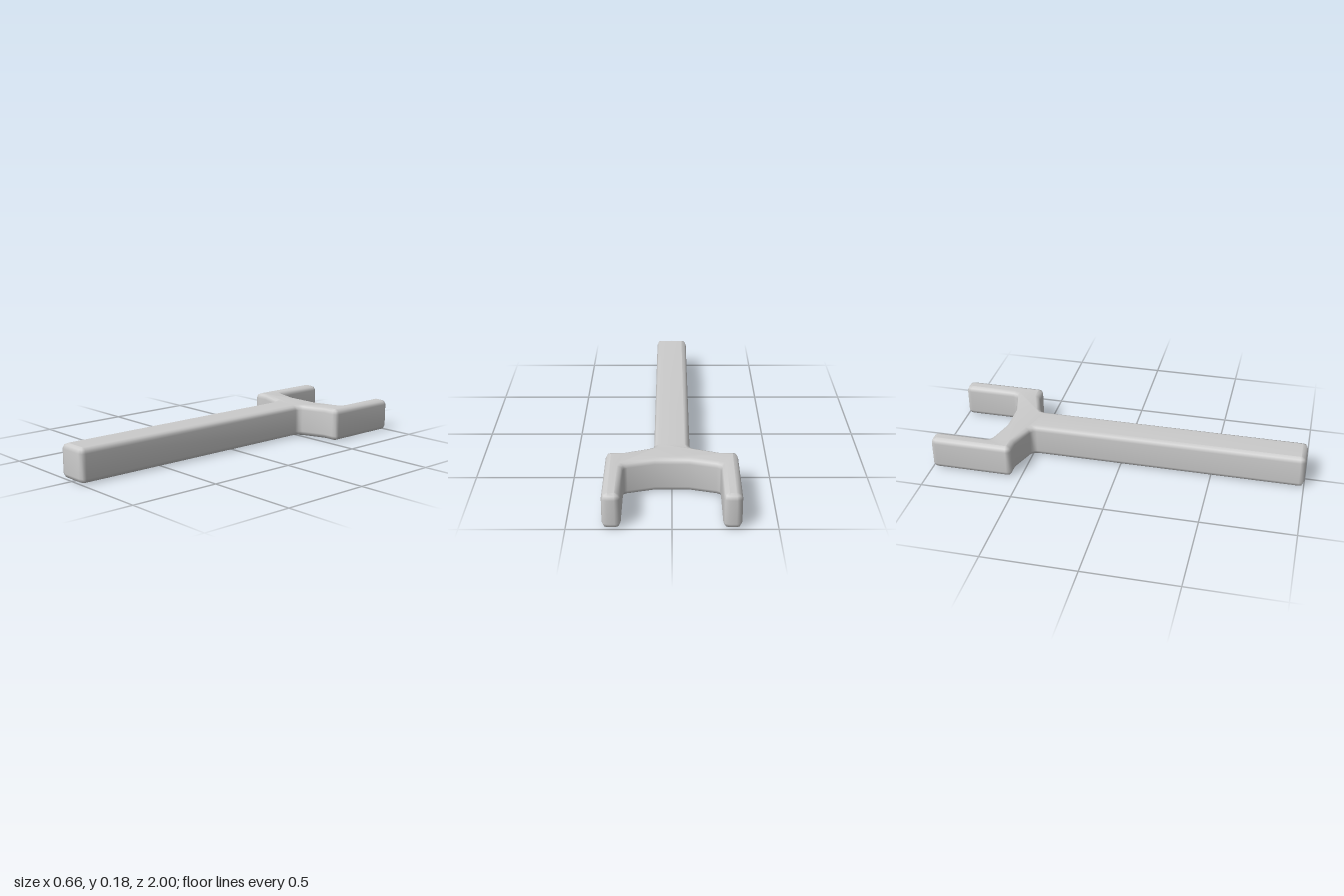
import * as THREE from 'three';
import { mergeVertices } from 'three/addons/utils/BufferGeometryUtils.js';

const HEIGHT = 0.18, BEVEL = 0.027;

// Right half of the plan: [x, -z, corner rounding], from handle end to fork throat
const HALF = [
  [0.09, -1, 0.028],
  [0.09, 0.497, 0.025],
  [0.24, 0.55, 0],
  [0.33, 0.55, 0.028],
  [0.33, 1, 0.028],
  [0.24, 1, 0.028],
  [0.24, 0.688, 0.022],
  [0.085, 0.645, 0],
];

// Closed outline whose corners are eased by the given rounding
function roundedOutline(points) {
  const shape = new THREE.Shape();
  const n = points.length;
  const at = (i) => new THREE.Vector2(points[(i + n) % n][0], points[(i + n) % n][1]);
  const toward = (a, b, d) => b.clone().sub(a).setLength(d).add(a);
  for (let i = 0; i < n; i++) {
    const p = at(i), r = points[i][2];
    const a = r ? toward(p, at(i - 1), r) : p;
    if (i === 0) shape.moveTo(a.x, a.y);
    else shape.lineTo(a.x, a.y);
    if (r) {
      const b = toward(p, at(i + 1), r);
      shape.quadraticCurveTo(p.x, p.y, b.x, b.y);
    }
  }
  shape.closePath();
  return shape;
}

export function createModel() {
  const group = new THREE.Group();
  group.name = 'forkedTool';

  // Handle, yoke and two prongs form one bevelled solid
  const mirrored = HALF.map(([x, y, r]) => [-x, y, r]).reverse();
  let geometry = new THREE.ExtrudeGeometry(roundedOutline([...HALF, ...mirrored]), {
    depth: HEIGHT - 2 * BEVEL,
    curveSegments: 2,
    bevelEnabled: true,
    bevelThickness: BEVEL,
    bevelSize: BEVEL,
    bevelOffset: -BEVEL,
    bevelSegments: 2,
  });
  geometry.rotateX(-Math.PI / 2);
  geometry.translate(0, BEVEL, 0);

  // Weld the faces so the bevels shade smoothly
  geometry.deleteAttribute('uv');
  geometry.deleteAttribute('normal');
  geometry = mergeVertices(geometry, 1e-5);
  geometry.computeVertexNormals();

  const body = new THREE.Mesh(geometry, new THREE.MeshStandardMaterial({ color: 0xcccccc }));
  body.name = 'handleAndFork';
  group.add(body);
  return group;
}
